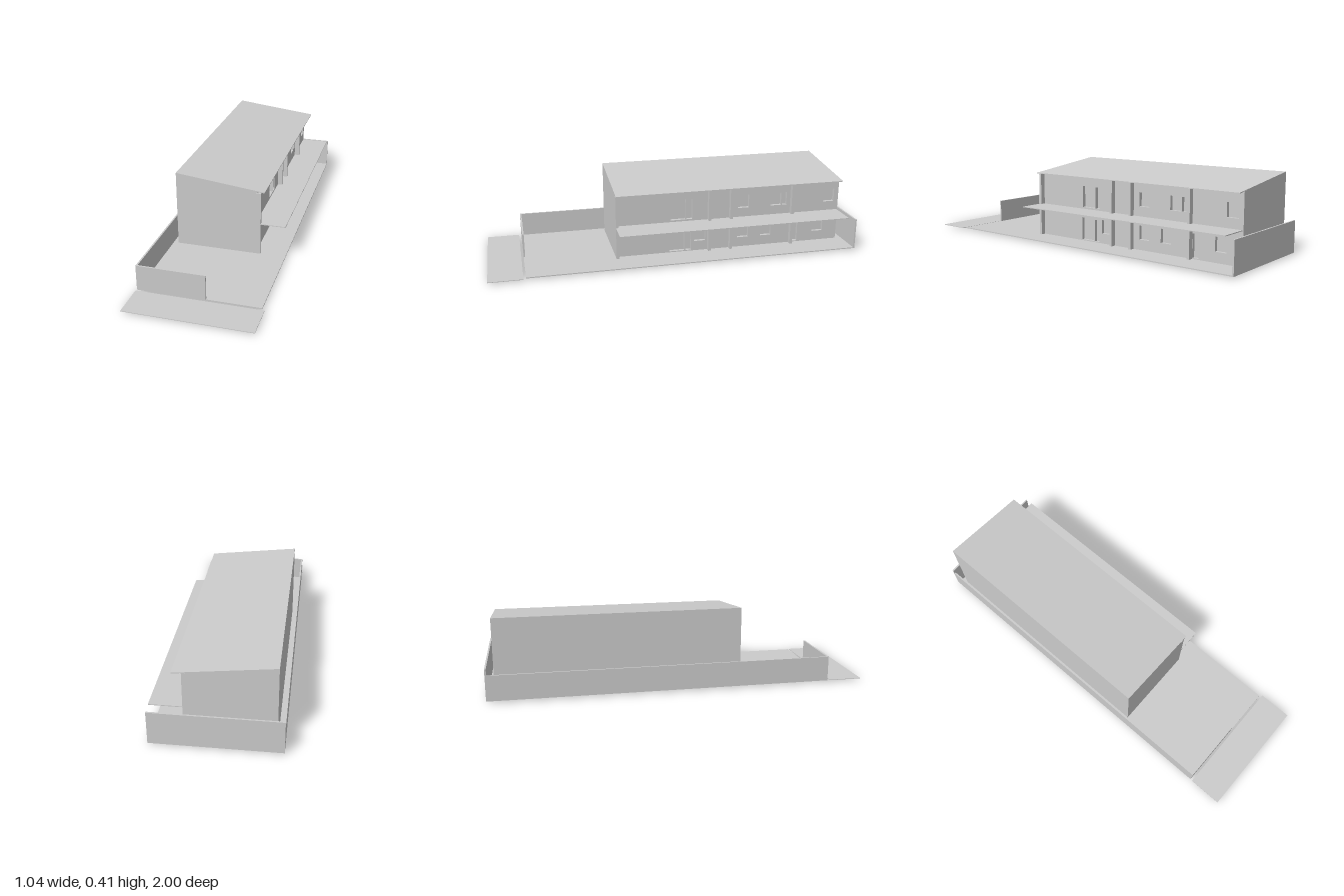
import * as THREE from 'three';

export function createModel() {
  const model = new THREE.Group();
  model.name = 'house';
  // the whole plot is turned on the site
  const site = new THREE.Group();
  site.name = 'site';
  site.rotation.y = THREE.MathUtils.degToRad(13.55);
  model.add(site);
  const mat = new THREE.MeshStandardMaterial({ color: 0xcccccc, side: THREE.DoubleSide });

  function add(name, geo) {
    const m = new THREE.Mesh(geo, mat);
    m.name = name;
    site.add(m);
    return m;
  }
  // box given by its limits
  function box(name, x0, x1, y0, y1, z0, z1) {
    const m = add(name, new THREE.BoxGeometry(x1 - x0, y1 - y0, z1 - z0));
    m.position.set((x0 + x1) / 2, (y0 + y1) / 2, (z0 + z1) / 2);
    return m;
  }
  // cross-section in x,y drawn out along z
  function prism(name, pts, z0, z1) {
    const shape = new THREE.Shape(pts.map(p => new THREE.Vector2(p[0], p[1])));
    const m = add(name, new THREE.ExtrudeGeometry(shape, { depth: z1 - z0, bevelEnabled: false }));
    m.position.z = z0;
    return m;
  }

  const L = -0.27, R = 0.14, B = -0.917, F = 0.306, floor = 0.012;
  const roofY = x => 0.406 - 0.117 * (x - L);

  // ground: plot and pavement
  box('plotSlab', -0.304, 0.293, 0.008, 0.013, -0.958, 0.77);
  box('pavement', -0.306, 0.306, 0.008, 0.011, 0.782, 0.952);

  // boundary walls
  box('sideFence', -0.304, -0.296, 0.01, 0.136, -0.958, 0.77);
  box('frontFence', -0.304, 0.03, 0.01, 0.136, 0.762, 0.77);
  box('backFence', -0.304, 0.293, 0.01, 0.169, -0.958, -0.95);

  // foundation beams under the slab
  for (const x of [L + 0.006, -0.06, R - 0.006]) box('longBeam', x - 0.006, x + 0.006, 0, 0.009, B, F);
  for (const z of [B + 0.006, -0.645, -0.475, -0.307, -0.189, 0.06, F - 0.006]) {
    box('crossBeam', L, R, 0, 0.009, z - 0.006, z + 0.006);
  }

  // building core
  const core = R - 0.018;
  prism('buildingBody', [[L, floor], [core, floor], [core, roofY(core) - 0.003], [L, roofY(L) - 0.003]], B, F);

  // sloping roof plate with overhang
  const eave = 0.184;
  prism('roof', [[L, roofY(L) - 0.004], [eave, roofY(eave) - 0.004], [eave, roofY(eave)], [L, roofY(L)]], B, F);

  // facade with recessed doors and windows: [back edge z, width, bottom, top]
  const openings = [
    [-0.064, 0.08, 0.19, 0.30], [-0.10, 0.03, 0.19, 0.30], [-0.409, 0.06, 0.23, 0.30],
    [-0.589, 0.06, 0.23, 0.30], [-0.62, 0.025, 0.23, 0.30], [-0.892, 0.06, 0.23, 0.30],
    [-0.059, 0.08, 0.018, 0.135], [-0.095, 0.03, 0.018, 0.13], [-0.172, 0.06, 0.065, 0.135],
    [-0.409, 0.06, 0.065, 0.135], [-0.537, 0.06, 0.065, 0.135], [-0.69, 0.035, 0.018, 0.135],
    [-0.836, 0.06, 0.065, 0.135],
  ];
  const rect = (C, x0, x1, y0, y1) => new C([[x0, y0], [x1, y0], [x1, y1], [x0, y1]].map(p => new THREE.Vector2(...p)));
  const facade = rect(THREE.Shape, -F, -B, floor, roofY(R) - 0.003);
  for (const [z, w, y0, y1] of openings) facade.holes.push(rect(THREE.Path, -z - w, -z, y0, y1));
  const wall = add('facade', new THREE.ExtrudeGeometry(facade, { depth: R - core, bevelEnabled: false }).rotateY(Math.PI / 2));
  wall.position.x = core;

  // full-height piers
  for (const z of [F - 0.007, -0.189, -0.307, -0.647]) {
    box('pier', R - 0.002, 0.166, floor, 0.345, z - 0.007, z + 0.007);
  }

  // canopy between the floors
  box('canopy', R - 0.002, 0.291, 0.177, 0.181, -0.912, F);

  return model;
}
